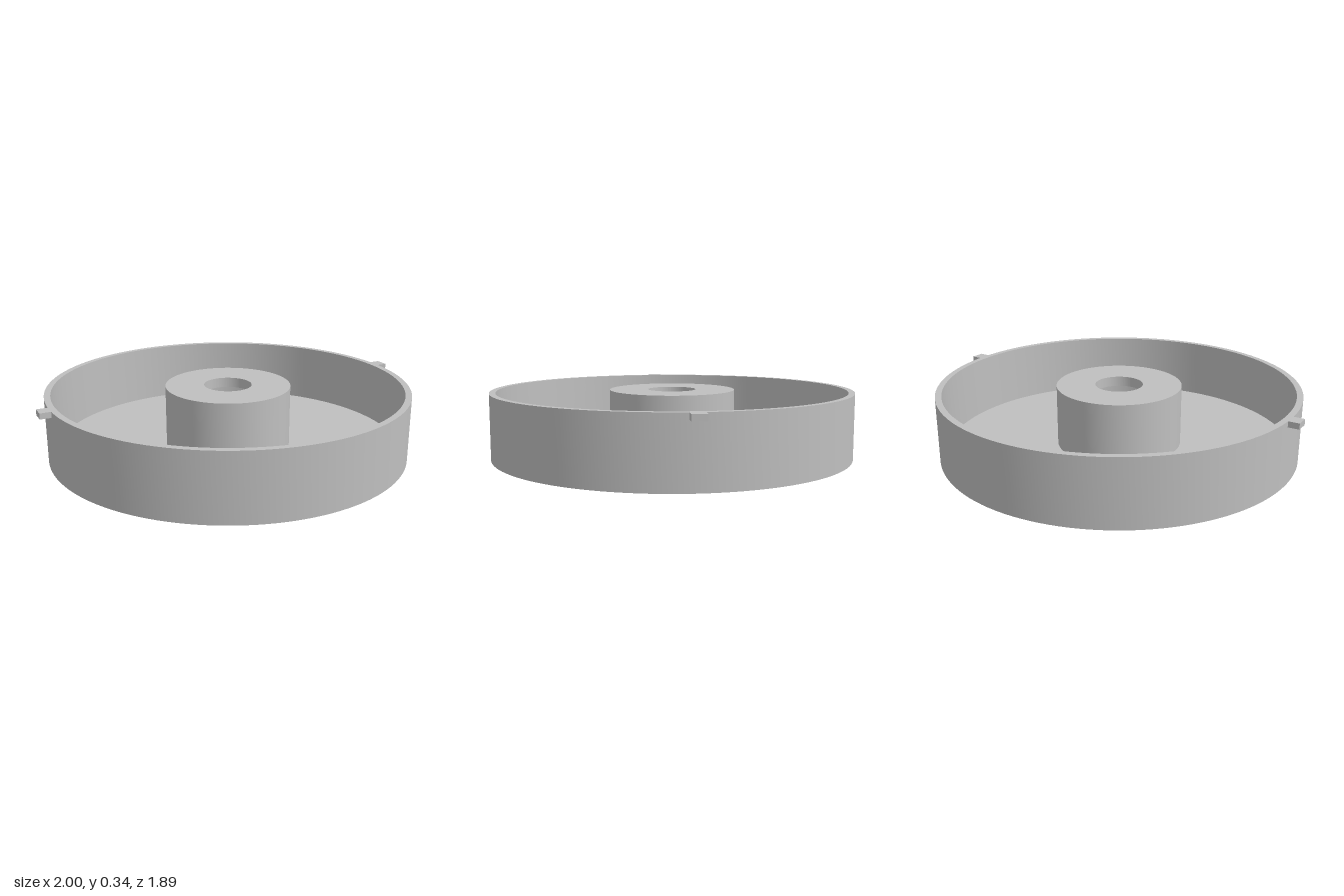
import * as THREE from 'three';
import { toCreasedNormals } from 'three/addons/utils/BufferGeometryUtils.js';

const HEIGHT = 0.34;
const FLOOR = 0.022;
const OUTER = 0.945;
const HUB = 0.328;
const BORE = 0.272;

// Revolved part with crisp rims and smooth walls
function turned(name, profile, material) {
  const points = profile.map(([r, y]) => new THREE.Vector2(r, y));
  const geometry = toCreasedNormals(new THREE.LatheGeometry(points, 128), 0.6);
  const mesh = new THREE.Mesh(geometry, material);
  mesh.name = name;
  return mesh;
}

export function createModel() {
  const model = new THREE.Group();
  model.name = 'roundTray';
  const grey = new THREE.MeshStandardMaterial({ color: 0xbfbfbf });
  grey.name = 'plain grey';

  // Floor and thin outer wall
  model.add(turned('dish', [
    [HUB, 0], [OUTER, 0], [OUTER, HEIGHT], [0.913, HEIGHT], [0.913, FLOOR], [HUB, FLOOR],
  ], grey));

  // Hollow hub, open below, with a small hole through its cap
  model.add(turned('hub', [
    [BORE, 0], [HUB, 0], [HUB, HEIGHT], [0.125, HEIGHT],
    [0.125, HEIGHT - 0.052], [BORE, HEIGHT - 0.052], [BORE, 0],
  ], grey));

  // Locating tabs on both sides of the rim
  for (const side of [-1, 1]) {
    const tab = new THREE.Mesh(new THREE.BoxGeometry(0.07, 0.03, 0.07), grey);
    tab.name = side > 0 ? 'leftTab' : 'rightTab';
    tab.position.set(side * 0.965, HEIGHT - 0.015, 0);
    model.add(tab);
  }
  return model;
}
